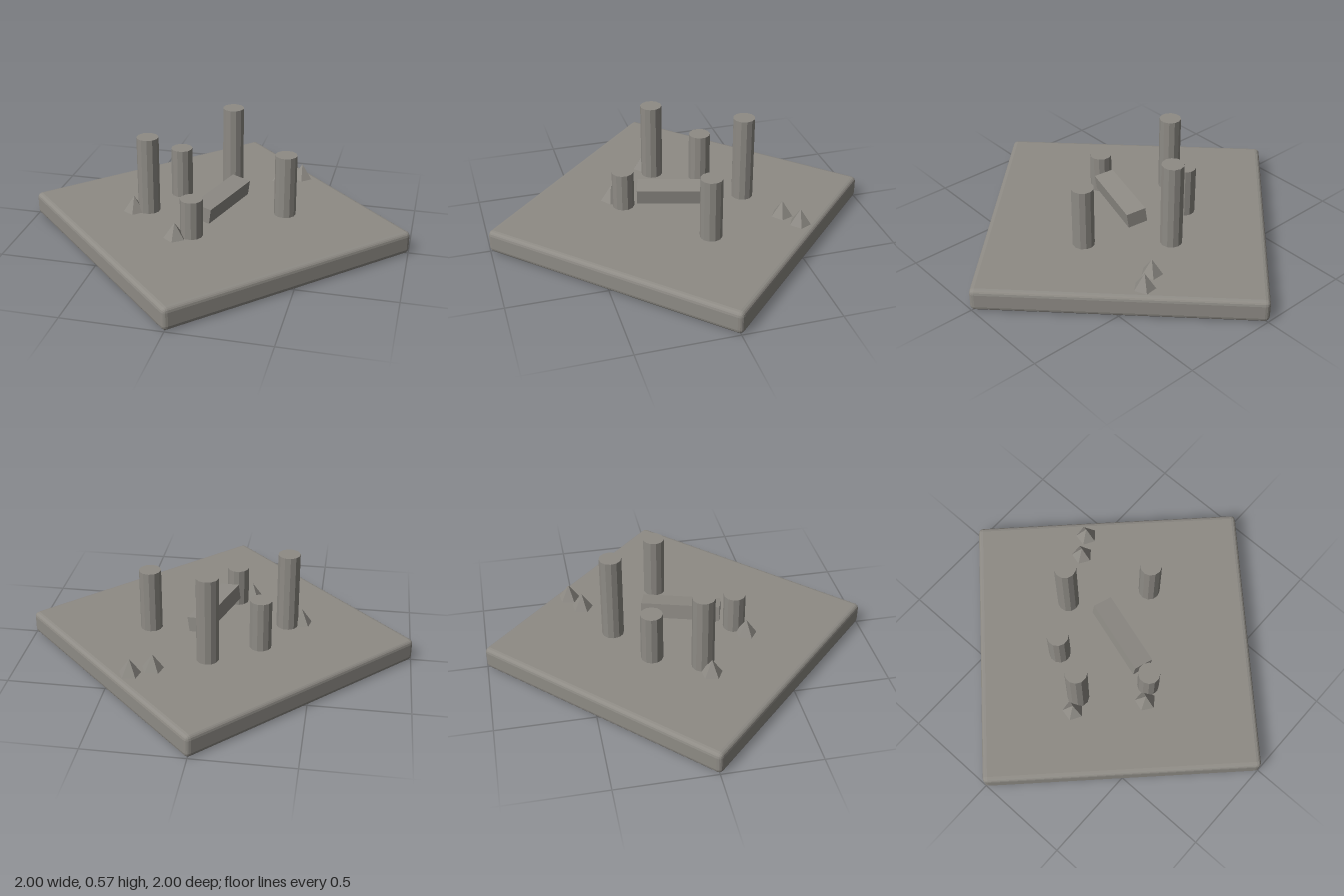
import * as THREE from 'three';
import { RoundedBoxGeometry } from 'three/addons/geometries/RoundedBoxGeometry.js';

export function createModel() {
  const model = new THREE.Group();
  model.name = 'ruins';
  const stone = new THREE.MeshStandardMaterial({ color: 0x8e8b85, flatShading: true });
  stone.name = 'grey stone';

  const add = (name, geometry, x, y, z) => {
    const mesh = new THREE.Mesh(geometry, stone);
    mesh.name = name;
    mesh.position.set(x, y, z);
    model.add(mesh);
    return mesh;
  };

  // Square slab with softened edges, turned corner-forward
  const TOP = 0.12;
  const base = add('base', new RoundedBoxGeometry(1.429, TOP, 1.429, 2, 0.025), 0, TOP / 2, 0);
  base.rotation.y = Math.PI / 4;

  // Ring of broken columns: x, z, top height
  const columns = [
    [-0.35, 0.06, 0.53], [-0.235, -0.177, 0.385], [0.01, -0.34, 0.575],
    [0.35, -0.06, 0.45], [-0.06, 0.29, 0.32],
  ];
  const sunk = TOP - 0.01;
  columns.forEach(([x, z, top], i) => {
    const shaft = new THREE.CylinderGeometry(0.057, 0.057, top - sunk, 12);
    add(`column${i + 1}`, shaft, x, (top + sunk) / 2, z).rotation.y = 0.2 + i * 0.13;
  });

  // Fallen lintel, floating at a slight roll
  const lintel = add('lintel', new THREE.BoxGeometry(0.104, 0.08, 0.408), 0.03, 0.21, 0.026);
  lintel.rotation.set(0, -0.29, -0.14);

  // Five-sided rubble spikes: x, z, turn
  const rubble = [
    [-0.423, 0.09, 0.1], [-0.135, 0.338, 0], [0.262, -0.47, 0.05], [0.363, -0.53, 0.1],
  ];
  rubble.forEach(([x, z, turn], i) => {
    const spike = new THREE.ConeGeometry(0.058, 0.085, 5);
    add(`rubble${i + 1}`, spike, x, TOP + 0.04, z).rotation.y = turn;
  });

  return model;
}
